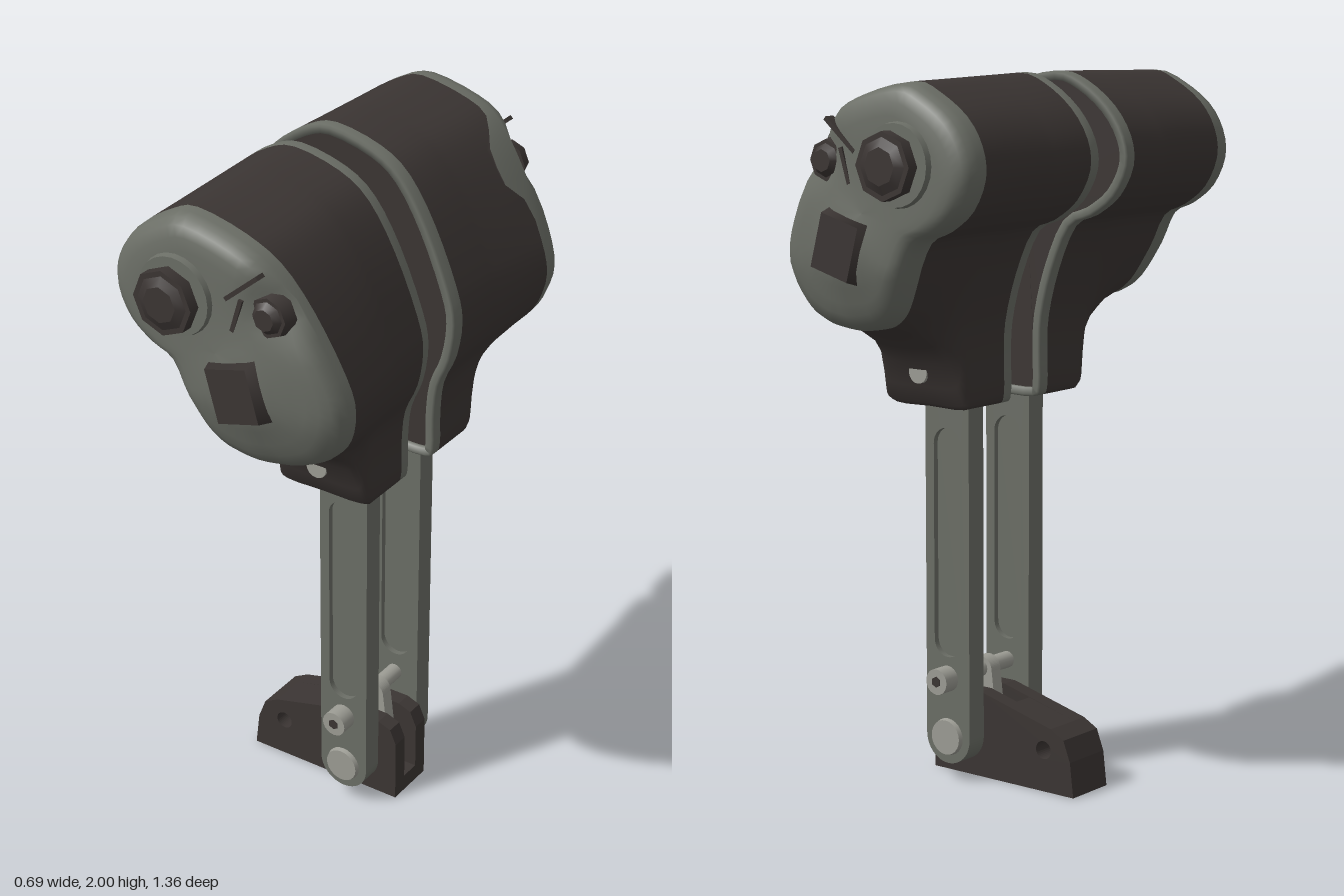
import * as THREE from 'three';

const mat = (name, color) => Object.assign(new THREE.MeshStandardMaterial({ color }), { name });

// Grip outline, clockwise from the top: [outer x, y, inner x, y]; the inner one includes the neck
const OUTLINE = [
  [-.10, 1.99, -.10, 2.0], [.05, 1.955, .04, 1.967], [.145, 1.90, .13, 1.905], [.235, 1.78, .21, 1.78],
  [.32, 1.615, .28, 1.615], [.345, 1.52, .30, 1.52], [.325, 1.43, .285, 1.41], [.28, 1.37, .25, 1.32],
  [.23, 1.345, .24, 1.22], [.20, 1.335, .24, 1.12], [.17, 1.33, .215, 1.09], [.095, 1.325, .095, 1.09],
  [.03, 1.335, -.025, 1.09], [0, 1.345, -.05, 1.12], [-.03, 1.365, -.05, 1.22], [-.06, 1.40, -.055, 1.32],
  [-.10, 1.475, -.09, 1.45], [-.15, 1.575, -.15, 1.575], [-.22, 1.61, -.225, 1.61], [-.29, 1.665, -.30, 1.665],
  [-.33, 1.75, -.345, 1.75], [-.32, 1.83, -.335, 1.83], [-.27, 1.905, -.28, 1.91], [-.18, 1.965, -.19, 1.975],
].reverse();
const SAMPLES = OUTLINE.length * 3;

// Smooth cross-section at depth z; t fades the neck away
function section(z, t) {
  const u = THREE.MathUtils.clamp((z - .06) / .44, 0, 1);
  const pts = OUTLINE.map(([bx, by, nx, ny]) => {
    const k = ny > 1.4 ? u : t;
    return new THREE.Vector3(nx + (bx - nx) * k, ny + (by - ny) * k, z);
  });
  return new THREE.CatmullRomCurve3(pts, true, 'catmullrom', .5).getPoints(SAMPLES).slice(0, SAMPLES);
}

const inset = (ring, d, z) => ring.map((p, i) => {
  const a = ring.at(i - 1), b = ring[(i + 1) % ring.length];
  const n = new THREE.Vector2(-(b.y - a.y), b.x - a.x).normalize();
  return new THREE.Vector3(p.x + n.x * d, p.y + n.y * d, z);
});

const shrink = (ring, k, zOf) => ring.map((p) => {
  const x = .01 + (p.x - .01) * k, y = 1.65 + (p.y - 1.65) * k;
  return new THREE.Vector3(x, y, zOf(x, y));
});

// Skin through rings; s = -1 mirrors it to the back
function loft(rings, s) {
  const pos = [], idx = [], n = rings[0].length;
  rings.forEach((r) => r.forEach((p) => pos.push(p.x, p.y, p.z * s)));
  for (let i = 0; i < rings.length - 1; i++) {
    for (let j = 0; j < n; j++) {
      const a = i * n + j, b = i * n + (j + 1) % n, c = b + n, d = a + n;
      if (s > 0) idx.push(a, b, c, a, c, d);
      else idx.push(a, c, b, a, d, c);
    }
  }
  const g = new THREE.BufferGeometry();
  g.setAttribute('position', new THREE.Float32BufferAttribute(pos, 3));
  g.setIndex(idx);
  g.computeVertexNormals();
  return g;
}

export function createModel() {
  const dark = mat('dark rubber', 0x3b3533);
  const grey = mat('grey metal', 0x6b6e66);
  const light = mat('light steel', 0x9c9c94);
  const model = new THREE.Group();
  model.name = 'twinLever';

  const add = (parent, name, geo, material) => {
    const m = new THREE.Mesh(geo, material);
    m.name = name;
    parent.add(m);
    return m;
  };
  // Cylinder along z between two depths
  const pin = (parent, name, x, y, r, z0, z1, material, sides = 24, r2 = r) => {
    const g = new THREE.CylinderGeometry(r2, r, Math.abs(z1 - z0), sides);
    g.rotateX(z1 > z0 ? Math.PI / 2 : -Math.PI / 2);
    const m = add(parent, name, g, material);
    m.position.set(x, y, (z0 + z1) / 2);
    return m;
  };
  const slab = (parent, name, shape, z0, z1, material) => {
    const g = new THREE.ExtrudeGeometry(shape, { depth: Math.abs(z1 - z0), bevelEnabled: false, curveSegments: 16 });
    g.translate(0, 0, Math.min(z0, z1));
    return add(parent, name, g, material);
  };
  // Upright slot or bar with rounded ends
  const capsule = (Type, x, y0, y1, r0, r1 = r0) => {
    const p = new Type();
    p.absarc(x, y1, r1, 0, Math.PI, false);
    p.absarc(x, y0, r0, Math.PI, Math.PI * 2, false);
    p.closePath();
    return p;
  };
  const hole = (x, y, r) => new THREE.Path().absarc(x, y, r, 0, Math.PI * 2, true);

  for (const s of [1, -1]) {
    const half = new THREE.Group();
    half.name = s > 0 ? 'frontHalf' : 'backHalf';
    model.add(half);

    // Grey inner rim around a recessed dark face
    const inner = section(.06, 0);
    const lip = inset(inner, .025, .078);
    add(half, 'innerRecess', loft([shrink(lip, 0, () => .078), lip], s), dark);
    add(half, 'innerRim', loft([lip, inset(inner, .025, .062), inset(inner, .006, .06),
      inset(inner, 0, .066), section(.098, 0)], s), grey);

    // Seam between grip and cap, with a deeper notch on the back half
    const slope = (x, y) => -.18 * Math.max(0, x - .1) - .2 * Math.max(0, 1.5 - y);
    const seam = section(.5, 1).map((p) => {
      const notch = s < 0 && p.x > .05 ? .08 * Math.exp(-(((p.y - 1.82) / .085) ** 4)) : 0;
      return new THREE.Vector3(p.x, p.y, .52 + slope(p.x, p.y) - notch);
    });
    const steps = [[.098, 0], [.098, 0], [.24, 0], [.26, .05], [.275, .25], [.3, .54], [.34, .73], [.42, .92]];
    add(half, 'grip', loft([...steps.map(([z, t]) => section(z, t)), seam], s), dark);

    // Rounded cap, dished near the small switch and raised under the square button
    const bump = (x, y, cx, cy, w) => Math.exp(-((x - cx) ** 2 + (y - cy) ** 2) / w);
    const cap = [[.995, .55], [.975, .575], [.93, .592], [.85, .602], [.75, .605], [.62, .606], [.48, .606],
      [.32, .606], [.15, .606], [0, .606]].map(([k, z]) => shrink(seam, k, (x, y) =>
      z + slope(x, y) + (k < .99 ? .022 * bump(x, y, .08, 1.55, .012) - .035 * bump(x, y, .19, 1.8, .006) : 0)));
    add(half, 'endCap', loft([seam, ...cap], s), grey);

    // Controls on the cap
    pin(half, 'knobCollar', -.11, 1.78, .115, s * .59, s * .622, grey, 24, .108);
    pin(half, 'knobStem', -.11, 1.78, .07, s * .61, s * .645, dark, 16);
    pin(half, 'knob', -.11, 1.78, .09, s * .635, s * .668, dark, 8);
    pin(half, 'knobTop', -.11, 1.78, .075, s * .668, s * .68, dark, 8, .05);
    pin(half, 'switchBase', .155, 1.78, .065, s * .55, s * .588, dark, 8, .055);
    pin(half, 'switchTop', .155, 1.78, .045, s * .588, s * .605, dark, 8, .03);
    for (const [x, y, w, h] of [[.09, 1.85, .13, .012], [.07, 1.76, .012, .12]]) {
      const edge = add(half, 'switchEdge', new THREE.BoxGeometry(w, h, .03), dark);
      edge.position.set(x, y, s * .592);
      edge.rotation.z = w > h ? .7 : -.3;
    }
    const button = pin(half, 'squareButton', .08, 1.56, .108, s * .59, s * .643, dark, 4, .092);
    button.geometry.rotateZ(Math.PI / 4);
    button.scale.y = 1.15;
    button.rotation.z = .27;

    // Neck fasteners
    pin(half, 'neckScrew', .095, 1.19, .032, s * .24, s * .293, light, 16);
    for (const y of [1.17, 1.36]) pin(half, 'innerScrew', .1, y, .025, s * .08, s * .045, grey, 12);

    // Lever with a shallow slot on both faces
    const slotted = capsule(THREE.Shape, .0975, .13, 1.2, .078);
    slotted.holes.push(capsule(THREE.Path, .0975, .41, .97, .048));
    slab(half, 'leverOuter', slotted, s * .15, s * .167, grey);
    slab(half, 'leverCore', capsule(THREE.Shape, .0975, .13, 1.2, .078), s * .12, s * .15, grey);
    slab(half, 'leverInner', slotted, s * .103, s * .12, grey);
    pin(half, 'pivotCap', .0975, .13, .055, s * .16, s * .18, light, 24, .05);
    pin(half, 'rodEnd', .0975, .30, .037, s * .165, s * .218, light, 20);
    pin(half, 'rodSocket', .0975, .30, .016, s * .217, s * .22, dark, 6);

    // Base side wall
    const wall = new THREE.Shape([[-.28, 0], [.22, 0], [.22, .19], [.2, .235], [.16, .25], [.05, .25],
      [-.2, .185], [-.245, .16], [-.268, .1]].map((p) => new THREE.Vector2(...p)));
    wall.holes.push(hole(-.175, .12, .026));
    slab(half, 'baseWall', wall, s * .03, s * .078, dark);
  }

  // Solid rear and floor of the base
  const core = new THREE.Shape([[-.28, 0], [.22, 0], [.22, .05], [-.02, .05], [-.04, .225],
    [-.2, .185], [-.245, .16], [-.268, .1]].map((p) => new THREE.Vector2(...p)));
  core.holes.push(hole(-.175, .12, .026));
  slab(model, 'baseCore', core, -.03, .03, dark);

  // Rods and centre link
  pin(model, 'gripSpacer', -.07, 1.765, .05, -.08, .08, light);
  pin(model, 'crossRod', .0975, .30, .024, -.17, .17, light, 16);
  pin(model, 'pivotRod', .0975, .13, .035, -.165, .165, grey, 16);
  slab(model, 'centreLink', capsule(THREE.Shape, .0975, .13, .295, .06, .04), -.02, .02, light);

  return model;
}
